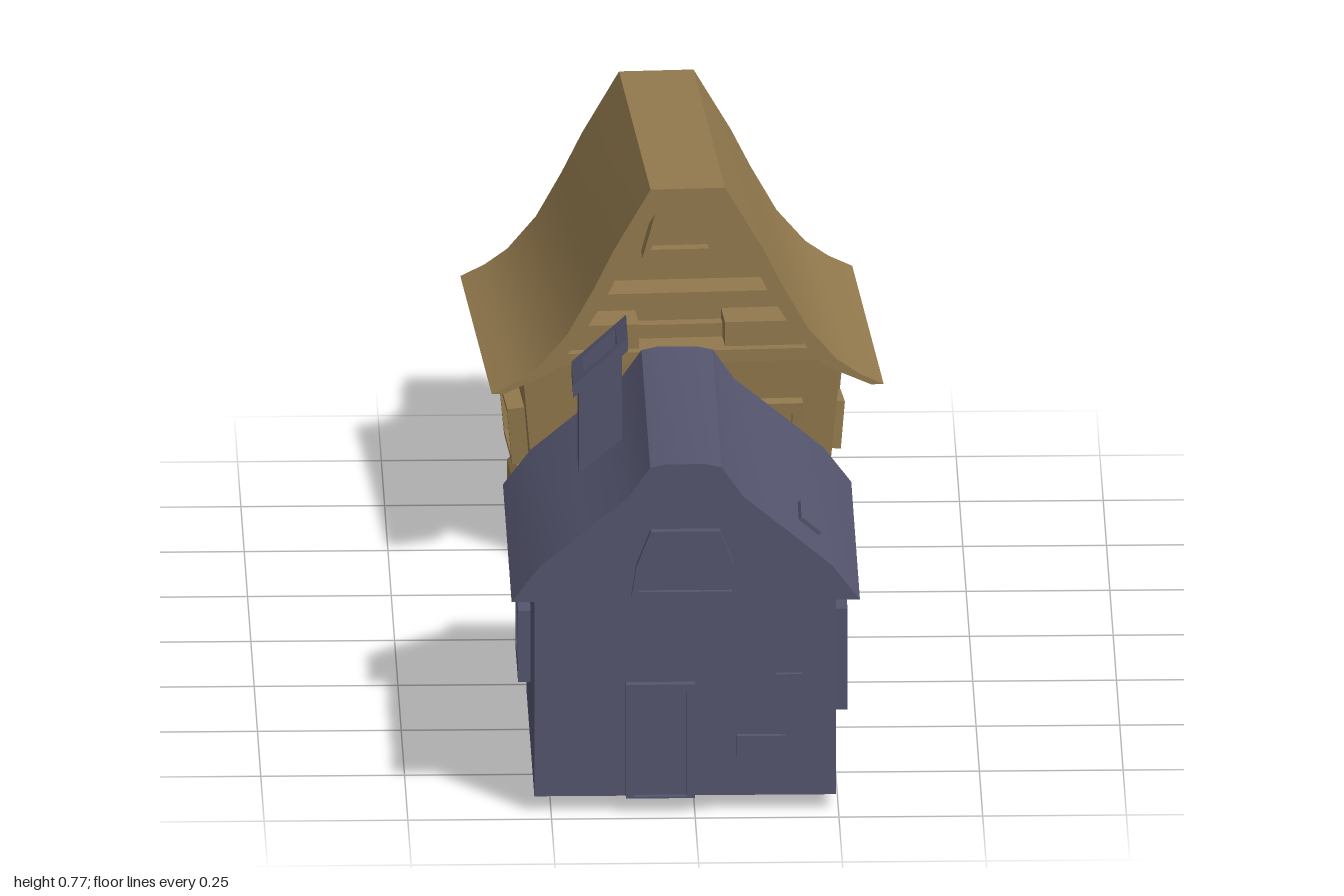
import * as THREE from 'three';
import { toCreasedNormals } from 'three/addons/utils/BufferGeometryUtils.js';

const blue = new THREE.MeshStandardMaterial({ color: 0x55556f });
const brown = new THREE.MeshStandardMaterial({ color: 0x92794d });

function add(parent, name, geo, mat, x = 0, y = 0, z = 0) {
  const m = new THREE.Mesh(geo, mat);
  m.name = name;
  m.position.set(x, y, z);
  parent.add(m);
  return m;
}

const box = (w, h, d) => new THREE.BoxGeometry(w, h, d);
const toShape = (pts) => new THREE.Shape(pts.map(([x, y]) => new THREE.Vector2(x, y)));
const mirror = (half) => half.concat(half.map(([x, y]) => [-x, y]).reverse());

// Solid made by pushing an outline from z0 to z1
function prism(pts, z0, z1, hole) {
  const s = toShape(pts);
  if (hole) s.holes.push(toShape(hole));
  return new THREE.ExtrudeGeometry(s, { depth: z1 - z0, bevelEnabled: false }).translate(0, 0, z0);
}

// Roof shell between an outer and an inner half profile, listed eave to ridge
function roofGeo(outer, inner, z0, z1) {
  const pts = mirror(outer).concat(mirror(inner).reverse());
  return toCreasedNormals(prism(pts, z0, z1), 0.45);
}

// Outline of a frame: bottom width, top width, height
const trapezoid = (wb, wt, h) => [[-wb / 2, -h / 2], [wb / 2, -h / 2], [wt / 2, h / 2], [-wt / 2, h / 2]];

// Raised frame with a sunken panel and bars; yaw turns it to its wall, tilt follows a leaning wall
function opening(parent, name, mat, { wb, wt = wb, h, pos, yaw = 0, tilt = 0, rim = 0.012, depth = 0.022, cols = 1, rows = 1, sill = true, roll = 0 }) {
  const g = new THREE.Group();
  g.name = name;
  g.position.set(...pos);
  g.rotation.order = 'YXZ';
  g.rotation.set(tilt, yaw, roll);
  const hole = trapezoid(wb - 2 * rim, wt - 2 * rim, h - rim * 2);
  if (!sill) hole.forEach((p) => { if (p[1] < 0) p[1] = -h / 2 + 0.003; });
  add(g, 'frame', prism(trapezoid(wb, wt, h), -0.012, depth, hole), mat);
  add(g, 'panel', prism(hole, -0.012, depth * 0.3), mat);
  const w = Math.min(wb, wt) - 2 * rim;
  for (let i = 1; i < cols; i++) add(g, 'uprightBar', box(0.009, h - 2 * rim, depth * 0.8), mat, -w / 2 + (w * i) / cols, 0, depth * 0.35);
  for (let i = 1; i < rows; i++) add(g, 'crossBar', box(w + 0.008, 0.009, depth * 0.7), mat, 0, -h / 2 + (h * i) / rows, depth * 0.33);
  parent.add(g);
  return g;
}

// Hollow chimney piece whose upper (or both) ends follow a slope
function chimneyPiece(w, d, h, hw, hd, slope, both) {
  const geo = prism(trapezoid(w, w, d), 0, h, trapezoid(hw, hw, hd)).rotateX(-Math.PI / 2);
  const p = geo.attributes.position;
  for (let i = 0; i < p.count; i++) {
    if (both || p.getY(i) > h / 2) p.setY(i, p.getY(i) + slope * p.getX(i));
  }
  geo.computeVertexNormals();
  return geo;
}

function blueHouse() {
  const g = new THREE.Group();
  g.name = 'blueHouse';
  g.position.x = -0.0165;
  const outer = [[0.303, 0.4], [0.255, 0.463], [0.18, 0.525], [0.1, 0.59], [0.062, 0.644], [0.035, 0.65]];
  const inner = [[0.236, 0.4], [0.19, 0.445], [0.12, 0.527], [0.04, 0.64]];
  add(g, 'walls', box(0.525, 0.37, 0.575), blue, 0, 0.215, 0.67);
  add(g, 'gables', prism(mirror(inner), 0.3825, 0.9575), blue);
  add(g, 'roof', roofGeo(outer, inner, 0.345, 1.0), blue);

  // Front
  const zf = 0.9575;
  opening(g, 'frontDoor', blue, { wb: 0.12, h: 0.208, pos: [-0.0435, 0.134, zf], depth: 0.016, rim: 0.014, sill: false });
  const gw = (s) => mirror([[0.0935, 0], [0.085, 0.055], [0.06, 0.118]])
    .map(([x, y]) => [x * s, 0.459 + (y - 0.059) * s]);
  add(g, 'frontGableFrame', prism(gw(1), zf - 0.01, zf + 0.016, gw(0.87)), blue);
  add(g, 'frontGablePanel', prism(gw(0.87), zf - 0.01, zf + 0.006), blue);
  add(g, 'wallBlock', box(0.085, 0.038, 0.02), blue, 0.132, 0.122, zf);
  add(g, 'wallBlock', box(0.045, 0.017, 0.02), blue, 0.181, 0.245, zf);

  // Sides
  const xs = 0.2625;
  opening(g, 'tallWindow', blue, { wb: 0.09, wt: 0.1, h: 0.187, pos: [xs, 0.246, 0.815], yaw: Math.PI / 2 });
  opening(g, 'smallWindow', blue, { wb: 0.09, h: 0.122, pos: [xs, 0.215, 0.63], yaw: Math.PI / 2 });
  opening(g, 'leftWindow', blue, { wb: 0.19, h: 0.13, pos: [-xs, 0.215, 0.59], yaw: -Math.PI / 2, rim: 0.025 });

  // Back
  opening(g, 'backDoor', blue, { wb: 0.16, h: 0.25, pos: [0, 0.156, 0.3825], yaw: Math.PI, depth: 0.014, sill: false });
  opening(g, 'backGableWindow', blue, { wb: 0.2, wt: 0.17, h: 0.065, pos: [0, 0.452, 0.3825], yaw: Math.PI, depth: 0.014 });

  // On the roof
  const hatch = add(g, 'skylight', box(0.045, 0.014, 0.095), blue, 0.217, 0.495, 0.838);
  hatch.rotation.z = -0.69;
  add(g, 'chimneyStack', chimneyPiece(0.075, 0.105, 0.22, 0.058, 0.085, 0.9), blue, -0.141, 0.495, 0.615);
  add(g, 'chimneyCap', chimneyPiece(0.095, 0.135, 0.022, 0.058, 0.085, 0.9, true), blue, -0.141, 0.711, 0.615);
  return g;
}

function brownHouse() {
  const g = new THREE.Group();
  g.name = 'brownHouse';
  g.position.set(-0.0025, 0, -0.646);
  g.rotation.y = 0.06;
  const outer = [[0.342, 0.354], [0.3, 0.374], [0.26, 0.402], [0.21, 0.46], [0.165, 0.54], [0.13, 0.61], [0.065, 0.721]];
  const inner = [[0.32, 0.354], [0.235, 0.392], [0.185, 0.455], [0.14, 0.53], [0.105, 0.6], [0.045, 0.695]];
  add(g, 'roof', roofGeo(outer, inner, -0.33, 0.33), brown);

  // Walls widen toward the eaves
  const walls = box(0.5, 0.33, 0.38);
  const p = walls.attributes.position;
  for (let i = 0; i < p.count; i++) {
    if (p.getY(i) > 0) p.setXYZ(i, p.getX(i) * 1.12, p.getY(i), p.getZ(i) > 0 ? 0.21 : -0.215);
  }
  walls.computeVertexNormals();
  add(g, 'walls', walls, brown, 0, 0.215, -0.005);
  const gable = [[0.27, 0.37], ...inner.slice(1)];
  add(g, 'gables', prism(mirror(gable), -0.215, 0.13), brown);

  // Plinth with a chamfered top edge, and the steps
  add(g, 'plinth', box(0.54, 0.052, 0.42), brown, 0, 0.028, -0.005);
  const cap = new THREE.CylinderGeometry(0.96, 1, 1, 4, 1).rotateY(Math.PI / 4).scale(0.54 / Math.SQRT2, 0.014, 0.42 / Math.SQRT2);
  add(g, 'plinthEdge', toCreasedNormals(cap, 0.1), brown, 0, 0.061, -0.005);
  add(g, 'upperStep', box(0.19, 0.065, 0.1), brown, 0.115, 0.036, 0.235);
  add(g, 'lowerStep', box(0.19, 0.036, 0.16), brown, 0.115, 0.02, 0.263);

  // Front wall
  const zAt = (y) => 0.185 + ((y - 0.05) / 0.33) * 0.025;
  const tilt = 0.08;
  opening(g, 'frontDoor', brown, { wb: 0.15, wt: 0.17, h: 0.225, pos: [0.125, 0.178, zAt(0.178)], tilt, rim: 0.018, sill: false });
  opening(g, 'frontWindow', brown, { wb: 0.12, wt: 0.135, h: 0.105, pos: [-0.105, 0.235, zAt(0.235)], tilt, rim: 0.02, depth: 0.03, cols: 2, rows: 2 });

  // Balcony and timbers in the recessed gable
  add(g, 'balconyFloor', box(0.52, 0.022, 0.11), brown, 0, 0.38, 0.175);
  for (const s of [-1, 1]) {
    const side = [[0.075, 0.385], [0.215, 0.385], [0.19, 0.435], [0.075, 0.435]].map(([x, y]) => [x * s, y]);
    add(g, 'balconyParapet', prism(side, 0.12, 0.21), brown);
  }
  add(g, 'balconyBackRail', box(0.16, 0.025, 0.03), brown, 0, 0.403, 0.14);
  add(g, 'gableBeam', box(0.35, 0.024, 0.08), brown, 0, 0.478, 0.165);
  opening(g, 'gableWindow', brown, { wb: 0.13, wt: 0.075, h: 0.1, pos: [0, 0.592, 0.13], depth: 0.035, rim: 0.014 });

  // Side walls
  const xAt = (y) => 0.25 + ((y - 0.05) / 0.33) * 0.03;
  const side = { yaw: Math.PI / 2, tilt: 0.09, cols: 2, rows: 2 };
  opening(g, 'smallSideWindow', brown, { ...side, wb: 0.085, h: 0.085, pos: [xAt(0.215), 0.215, 0.09], roll: -0.06 });
  opening(g, 'tallSideWindow', brown, { ...side, wb: 0.09, h: 0.14, pos: [xAt(0.215), 0.215, -0.065], depth: 0.028 });
  opening(g, 'leftWindow', brown, { ...side, yaw: -Math.PI / 2, wb: 0.17, wt: 0.19, h: 0.105, cols: 3, pos: [-xAt(0.215), 0.215, 0.05], depth: 0.03 });

  // Back wall
  opening(g, 'backWindow', brown, { wb: 0.31, wt: 0.35, h: 0.11, pos: [0, 0.215, -0.203], yaw: Math.PI, tilt: 0.05, rim: 0.018, depth: 0.025, cols: 3, rows: 3 });
  return g;
}

export function createModel() {
  const model = new THREE.Group();
  model.name = 'twoCottages';
  model.add(blueHouse(), brownHouse());
  return model;
}
